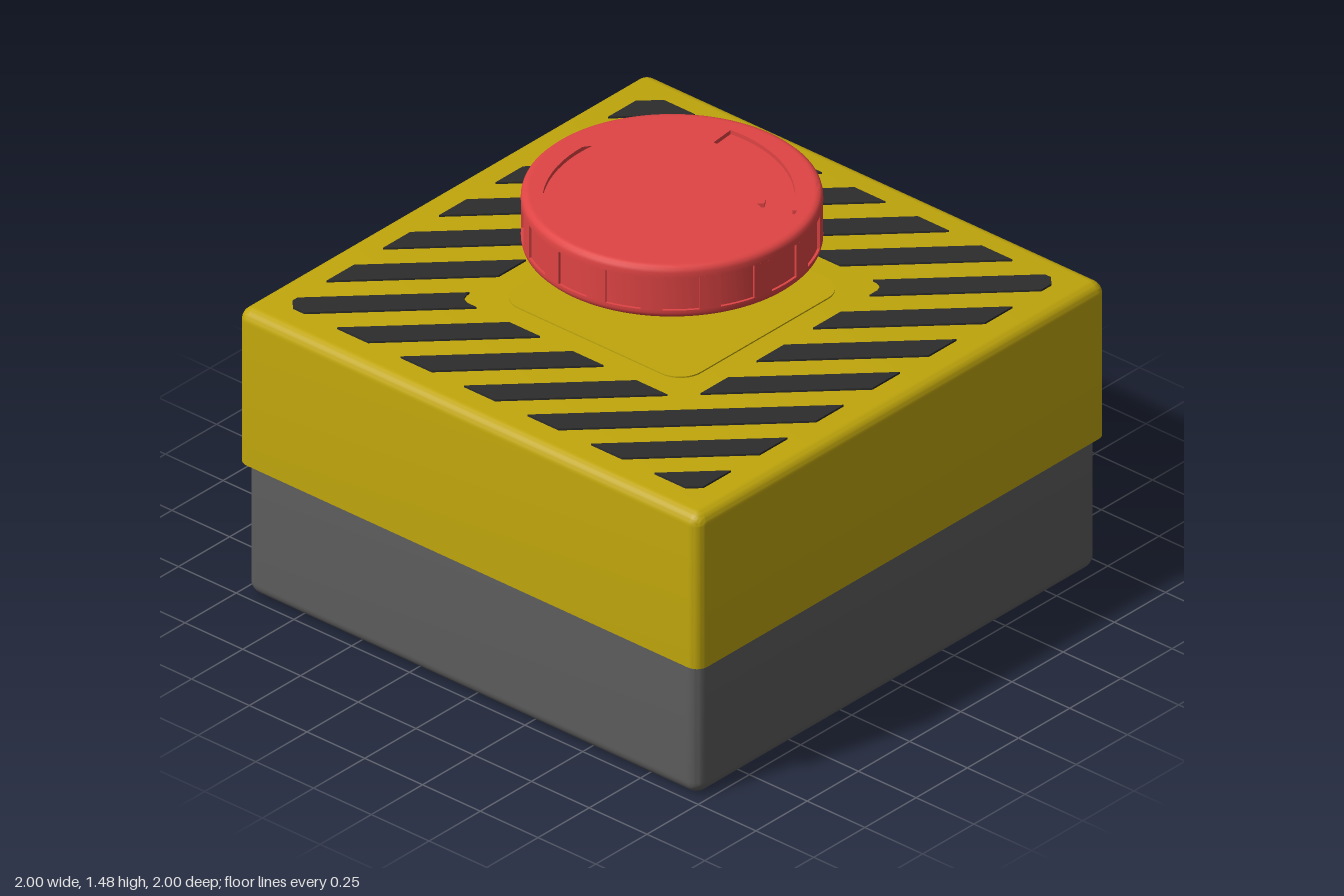
import * as THREE from 'three';
import { toCreasedNormals } from 'three/addons/utils/BufferGeometryUtils.js';
import { RoundedBoxGeometry } from 'three/addons/geometries/RoundedBoxGeometry.js';

const material = (color) => new THREE.MeshStandardMaterial({ color });
const yellow = material(0xc0a60c);
const grey = material(0x5e5e5e);
const black = material(0x2c2c2c);
const red = material(0xe04444);

function part(parent, name, geometry, mat, y = 0) {
  const mesh = new THREE.Mesh(geometry, mat);
  mesh.name = name;
  mesh.position.y = y;
  parent.add(mesh);
  return mesh;
}

// Flat outline in (x, z), extruded upwards
const toShape = (pts) => new THREE.Shape(pts.map(([x, z]) => new THREE.Vector2(x, -z)));
function slab(shape, height) {
  return new THREE.ExtrudeGeometry(shape, { depth: height, bevelEnabled: false, curveSegments: 64 })
    .rotateX(-Math.PI / 2);
}

// Box rounded on its sides and top, with a sharp flat bottom at y = 0
function roundedShell(width, height, radius) {
  const g = new RoundedBoxGeometry(width, height * 2, width, 5, radius);
  const p = g.attributes.position;
  for (let i = 0; i < p.count; i++) p.setY(i, Math.max(0, p.getY(i)));
  return toCreasedNormals(g, 0.5);
}

// Points on an arc around (0, cz), angle 0 pointing to -z, clockwise from above
function arc(r, from, to, steps, cz = 0) {
  return Array.from({ length: steps + 1 }, (_, i) => {
    const a = THREE.MathUtils.degToRad(from + (to - from) * i / steps);
    return [r * Math.sin(a), cz - r * Math.cos(a)];
  });
}

// Keep the part of a convex polygon where a*x + b*z <= c
function clip(poly, a, b, c) {
  const out = [];
  poly.forEach((p, i) => {
    const q = poly[(i + 1) % poly.length];
    const dp = a * p[0] + b * p[1] - c, dq = a * q[0] + b * q[1] - c;
    if (dp <= 0) out.push(p);
    if (dp * dq < 0) {
      const t = dp / (dp - dq);
      out.push([p[0] + (q[0] - p[0]) * t, p[1] + (q[1] - p[1]) * t]);
    }
  });
  return out;
}

// Diagonal warning stripes in a square frame around the button
function stripeShapes() {
  const o = 0.885, n = 0.49, shapes = [];
  const bands = [[-o, o, -o, -n], [-o, o, n, o], [-o, -n, -n, n], [n, o, -n, n]];
  for (const [x0, x1, z0, z1] of bands) {
    for (let k = -6; k <= 6; k++) {
      const c = 0.275 * k - 0.012;
      let poly = [[x0, z0], [x1, z0], [x1, z1], [x0, z1]];
      poly = clip(poly, 1, -1, c + 0.067);
      poly = clip(poly, -1, 1, 0.067 - c);
      // clipped outer corners
      for (const s of [-1, 1]) {
        poly = clip(poly, s, s, 2 * o - 0.03);
        poly = clip(poly, s, -s, 2 * o - 0.03);
      }
      if (poly.length > 2) shapes.push(toShape(poly));
    }
  }
  // Fillets where a stripe wraps the inner corner
  for (const s of [-1, 1]) {
    shapes.push(toShape([[n, n], [n - 0.04, n], [n - 0.012, n - 0.012], [n, n - 0.04]]
      .map(([x, z]) => [s * x, s * z])));
  }
  return shapes;
}

function roundedSquare(h, r) {
  const s = new THREE.Shape();
  for (let i = 0; i < 4; i++) {
    const a = i * Math.PI / 2;
    const sx = i === 0 || i === 3 ? 1 : -1, sy = i < 2 ? 1 : -1;
    s.absarc(sx * (h - r), sy * (h - r), r, a, a + Math.PI / 2);
  }
  return s;
}

// Curved turn arrow, repeated three times around the knob
function arrowPoints(turn) {
  const a = turn * Math.PI * 2 / 3, cos = Math.cos(a), sin = Math.sin(a);
  return [
    ...arc(0.5, -36, 29.6, 16, 0.106),
    [0.268, -0.383], [0.29, -0.255], [0.17, -0.233],
    ...arc(0.404, 26.4, -36, 16, 0.106),
  ].map(([x, z]) => [x * cos - z * sin, x * sin + z * cos]);
}

function createKnob() {
  const knob = new THREE.Group();
  knob.name = 'pushKnob';

  // Body with rounded rims, a shallow grip band and a sunken top
  const profile = [
    [0, 1.28], [0.468, 1.28], [0.479, 1.283], [0.487, 1.291], [0.49, 1.302],
    [0.49, 1.312], [0.481, 1.312], [0.481, 1.435], [0.49, 1.435],
    [0.49, 1.453], [0.487, 1.464], [0.479, 1.472], [0.468, 1.475],
    [0.46, 1.475], [0.46, 1.46], [0, 1.46],
  ].map(([x, y]) => new THREE.Vector2(x, y));
  part(knob, 'knobBody', toCreasedNormals(new THREE.LatheGeometry(profile, 96), 0.6), red);

  // Top face with the arrows cut into it
  const face = new THREE.Shape().absarc(0, 0, 0.461, 0, Math.PI * 2);
  for (let i = 0; i < 3; i++) face.holes.push(toShape(arrowPoints(i)));
  part(knob, 'knobFace', slab(face, 0.015), red, 1.46);

  // Grip pads between the recesses
  for (let i = 0; i < 16; i++) {
    const mid = (i + 0.5) * 22.5;
    const pts = [...arc(0.49, mid - 4.2, mid + 4.2, 4), ...arc(0.476, mid + 4.2, mid - 4.2, 4)];
    part(knob, 'gripPad', toCreasedNormals(slab(toShape(pts), 0.123), 0.5), red, 1.312);
  }
  return knob;
}

export function createModel() {
  const model = new THREE.Group();
  model.name = 'emergencyStopButton';

  // Enclosure
  part(model, 'baseBox', roundedShell(1.96, 0.5, 0.05).rotateX(Math.PI), grey, 0.5);
  part(model, 'topCover', roundedShell(2, 0.58, 0.045), yellow, 0.5);

  // Top markings and mounting plate
  part(model, 'warningStripes', slab(stripeShapes(), 0.007), black, 1.08);
  part(model, 'mountingPlate', slab(roundedSquare(0.4, 0.09), 0.005), yellow, 1.08);

  // Button
  part(model, 'stem', new THREE.CylinderGeometry(0.146, 0.146, 0.22, 48), grey, 1.18);
  model.add(createKnob());
  return model;
}
